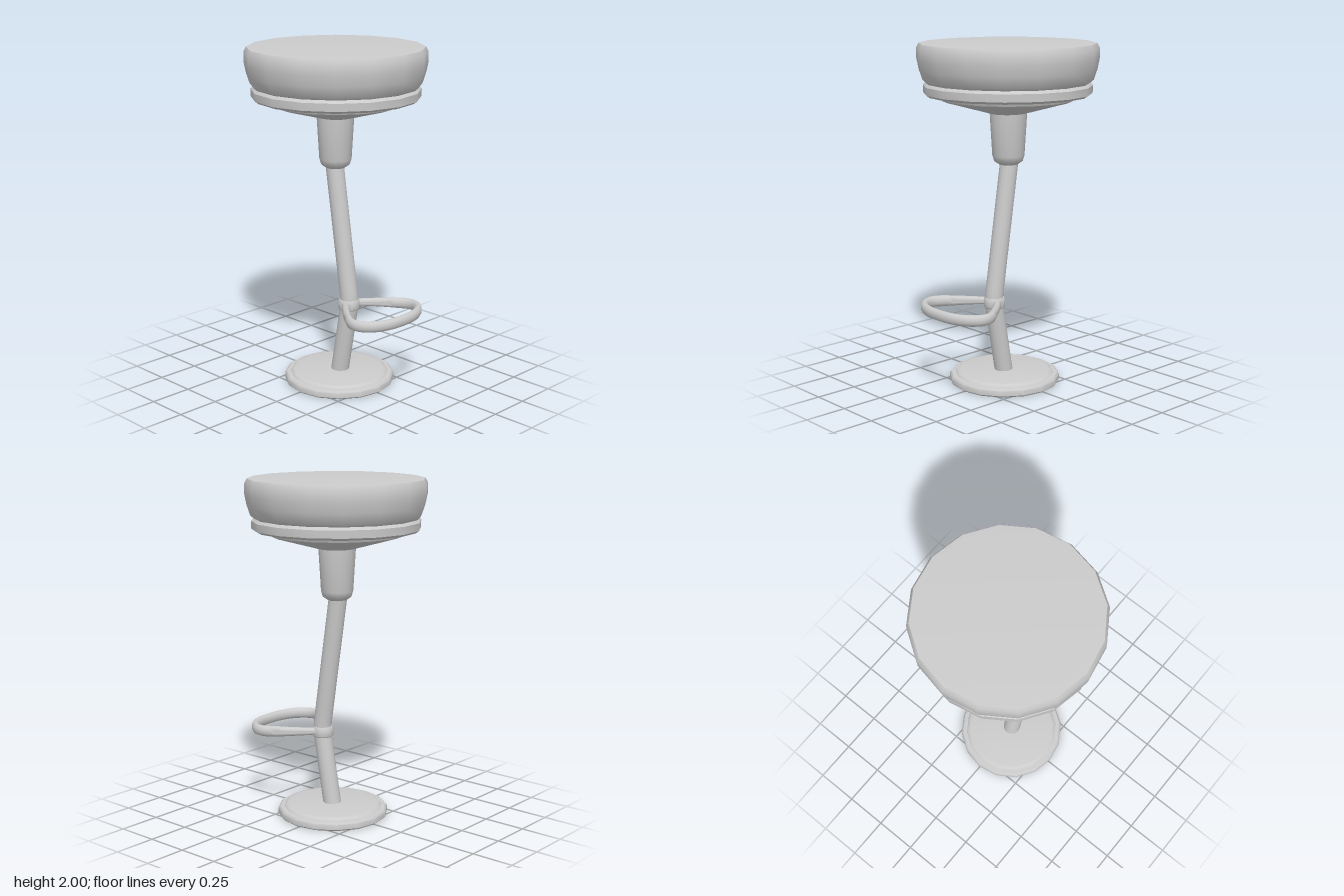
import * as THREE from 'three';
import { toCreasedNormals } from 'three/addons/utils/BufferGeometryUtils.js';

const material = new THREE.MeshStandardMaterial({ color: 0xcccccc });
const SEAT_Z = -0.015;
const BASE_Z = 0.012;

function addMesh(group, name, geometry, crease = 0.75) {
  const mesh = new THREE.Mesh(toCreasedNormals(geometry, crease), material);
  mesh.name = name;
  group.add(mesh);
  return mesh;
}

// Turned part: profile of [radius, height] pairs listed from bottom to top
function addTurned(group, name, profile, z, sides = 16) {
  const points = profile.map(([r, y]) => new THREE.Vector2(r, y));
  addMesh(group, name, new THREE.LatheGeometry(points, sides)).position.z = z;
}

export function createModel() {
  const stool = new THREE.Group();
  stool.name = 'barStool';

  // Round floor plate with a raised step
  addTurned(stool, 'base', [
    [0, 0.005], [0.315, 0.005], [0.325, 0.014], [0.325, 0.044], [0.315, 0.055],
    [0.29, 0.057], [0.28, 0.069], [0.265, 0.072], [0, 0.074],
  ], BASE_Z);

  // Padded cushion
  addTurned(stool, 'cushion', [
    [0, 1.775], [0.47, 1.775], [0.488, 1.79], [0.508, 1.85], [0.52, 1.91],
    [0.52, 1.97], [0.505, 1.998], [0.48, 2], [0, 2],
  ], SEAT_Z);

  // Rim band under the cushion
  addTurned(stool, 'seatRim', [
    [0, 1.703], [0.465, 1.703], [0.483, 1.716], [0.485, 1.76], [0.47, 1.776], [0, 1.776],
  ], SEAT_Z);

  // Shallow cone carrying the seat
  addTurned(stool, 'seatPan', [
    [0, 1.598], [0.1, 1.598], [0.36, 1.67], [0.39, 1.682], [0.4, 1.705], [0, 1.705],
  ], SEAT_Z);

  // Tapered socket around the top of the pole
  addTurned(stool, 'socket', [
    [0, 1.303], [0.055, 1.303], [0.083, 1.322], [0.093, 1.355], [0.108, 1.61], [0, 1.61],
  ], SEAT_Z - 0.005);

  // Bent pole: two straight lengths joined by a tight curve
  const bottom = new THREE.Vector3(0, 0.04, 0.013);
  const lowBend = new THREE.Vector3(0, 0.46, 0.089);
  const bend = new THREE.Vector3(0, 0.51, 0.098);
  const highBend = new THREE.Vector3(0, 0.56, 0.09);
  const top = new THREE.Vector3(0, 1.36, -0.033);
  const polePath = new THREE.CurvePath();
  polePath.add(new THREE.LineCurve3(bottom, lowBend));
  polePath.add(new THREE.QuadraticBezierCurve3(lowBend, bend, highBend));
  polePath.add(new THREE.LineCurve3(highBend, top));
  addMesh(stool, 'pole', new THREE.TubeGeometry(polePath, 48, 0.053, 14));

  // Collar clamping the footrest to the pole
  addTurned(stool, 'footrestCollar', [
    [0.05, 0.468], [0.057, 0.468], [0.062, 0.474], [0.062, 0.522], [0.057, 0.53], [0.05, 0.53],
  ], 0.091);

  // Teardrop footrest loop, mirrored from one half
  const half = [[0.035, 0.1], [0.1, 0.165], [0.19, 0.27], [0.238, 0.345], [0.238, 0.4], [0.19, 0.462], [0.1, 0.502]];
  const loop = [
    ...half.map(([x, z]) => new THREE.Vector3(x, 0, z)),
    new THREE.Vector3(0, 0, 0.511),
    ...half.slice().reverse().map(([x, z]) => new THREE.Vector3(-x, 0, z)),
  ];
  const footrest = new THREE.TubeGeometry(new THREE.CatmullRomCurve3(loop), 56, 0.023, 10);
  // The bar grows taller toward the front
  const pos = footrest.attributes.position;
  for (let i = 0; i < pos.count; i++) {
    const t = THREE.MathUtils.clamp((pos.getZ(i) - 0.1) / 0.2, 0, 1);
    pos.setY(i, pos.getY(i) * (0.9 + 0.55 * t));
  }
  addMesh(stool, 'footrest', footrest, 1).position.y = 0.502;

  return stool;
}
